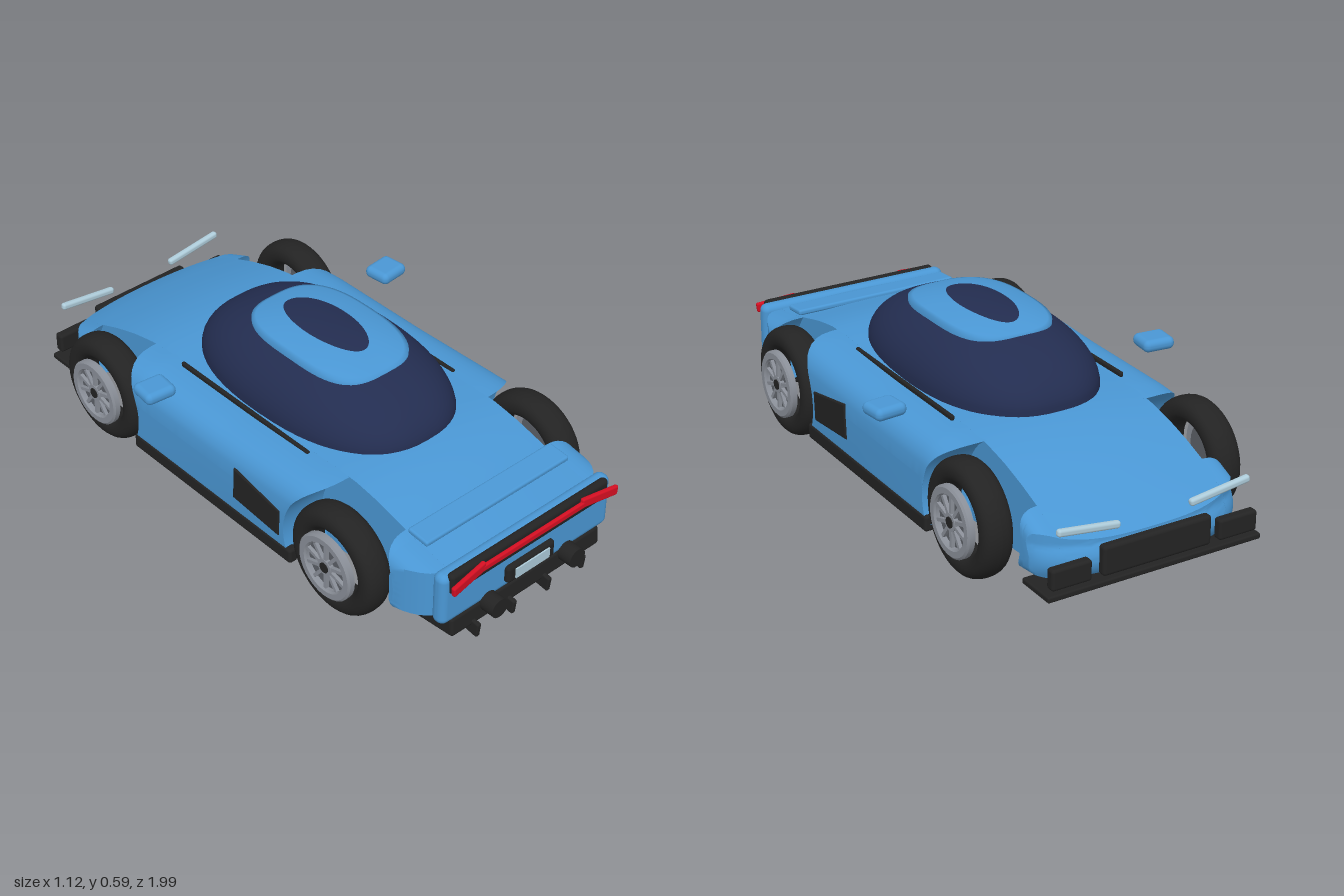
import * as THREE from 'three';
import { toCreasedNormals } from 'three/addons/utils/BufferGeometryUtils.js';
import { RoundedBoxGeometry } from 'three/addons/geometries/RoundedBoxGeometry.js';

const mat = (name, color, side = THREE.FrontSide) => {
  const m = new THREE.MeshStandardMaterial({ color, side });
  m.name = name;
  return m;
};

// Piecewise-linear lookup of a profile given as [z, y] points
const lookup = (pts) => (z) => {
  let i = 0;
  while (i < pts.length - 2 && z > pts[i + 1][0]) i++;
  const [a, b] = [pts[i], pts[i + 1]];
  const t = Math.min(1, Math.max(0, (z - a[0]) / (b[0] - a[0])));
  return a[1] + (b[1] - a[1]) * t;
};
const topY = lookup([[-0.99, 0.185], [-0.97, 0.21], [-0.9, 0.25], [-0.8, 0.292], [-0.7, 0.33], [-0.6, 0.36],
  [-0.5, 0.38], [-0.4, 0.388], [0, 0.39], [0.4, 0.402], [0.5, 0.4], [0.6, 0.383], [0.75, 0.345], [0.9, 0.32]]);
const bottomY = lookup([[-0.985, 0.105], [-0.8, 0.085], [-0.5, 0.07], [0.45, 0.07], [0.75, 0.1], [0.9, 0.14]]);

// End walls of a body slice: z as a function of height
const noseEnd = (x) => (y) => -0.8 - 0.185 * Math.pow(Math.max(0, 1 - Math.pow(Math.abs(x) / 0.38, 2.5)), 0.4)
  + 0.02 * Math.min(1, ((y - 0.15) / 0.05) ** 2);
const tailEnd = (x) => () => 0.895 - 0.13 * Math.pow(Math.max(0, (Math.abs(x) - 0.3) / 0.105), 3);
const arch = (zc, r, dir) => (y) => zc + dir * Math.sqrt(Math.max(0, r * r - (y - 0.19) ** 2));

// Side contour of the body between two end walls
function slice(x, drop, rise, front, rear) {
  const top = (z) => topY(z) - drop, bottom = (z) => bottomY(z) + rise;
  const meet = (curve, end) => {
    let z = end(0.2);
    for (let i = 0; i < 40; i++) z = (z + end(curve(z))) / 2;
    return z;
  };
  const tf = meet(top, front), tr = meet(top, rear), bf = meet(bottom, front), br = meet(bottom, rear);
  const pts = [], N = 36, M = 14;
  for (let i = 0; i < N; i++) { const z = tf + (tr - tf) * i / N; pts.push([z, top(z)]); }
  for (let i = 0; i < M; i++) { const y = top(tr) + (bottom(br) - top(tr)) * i / M; pts.push([i ? rear(y) : tr, y]); }
  for (let i = 0; i < N; i++) { const z = br + (bf - br) * i / N; pts.push([z, bottom(z)]); }
  for (let i = 0; i < M; i++) { const y = bottom(bf) + (top(tf) - bottom(bf)) * i / M; pts.push([i ? front(y) : bf, y]); }
  return { x, pts };
}

// Skin over slices ordered by rising x, closed at both ends
function loft(slices) {
  const pos = [], idx = [], n = slices[0].pts.length;
  slices.forEach(({ x, pts }) => pts.forEach(([z, y]) => pos.push(x, y, z)));
  for (let i = 0; i < slices.length - 1; i++) for (let j = 0; j < n; j++) {
    const a = i * n + j, b = i * n + (j + 1) % n;
    idx.push(a, b, a + n, b, b + n, a + n);
  }
  [0, slices.length - 1].forEach((s) => {
    const flat = slices[s].pts.map(([z, y]) => new THREE.Vector2(-z, y));
    THREE.ShapeUtils.triangulateShape(flat, []).forEach(([a, b, c]) =>
      idx.push(s * n + a, s * n + (s ? b : c), s * n + (s ? c : b)));
  });
  const g = new THREE.BufferGeometry();
  g.setAttribute('position', new THREE.Float32BufferAttribute(pos, 3));
  g.setIndex(idx);
  return toCreasedNormals(g, 0.6);
}

// Surface patch from rings running outward
function patch(rings, fn, segs = 64) {
  const pos = [], idx = [];
  for (let s = 0; s <= rings; s++) for (let k = 0; k < segs; k++) pos.push(...fn(s, k / segs * Math.PI * 2));
  for (let s = 0; s < rings; s++) for (let k = 0; k < segs; k++) {
    const a = s * segs + k, b = s * segs + (k + 1) % segs;
    idx.push(a, b, a + segs, b, b + segs, a + segs);
  }
  const g = new THREE.BufferGeometry();
  g.setAttribute('position', new THREE.Float32BufferAttribute(pos, 3));
  g.setIndex(idx);
  g.computeVertexNormals();
  return g;
}
const spow = (v, p) => Math.sign(v) * Math.pow(Math.abs(v), p);
const oval = (a, rx, rz, zc, p) => [rx * spow(Math.cos(a), 2 / p), zc + rz * spow(Math.sin(a), 2 / p)];
const cabinY = (x, z) => {
  const q = Math.pow(Math.abs(x / 0.295), 2.5) + Math.pow(Math.abs((z - 0.02) / 0.48), 2.5);
  return 0.385 + 0.205 * Math.sqrt(Math.max(0, 1 - Math.pow(q, 0.8)));
};

export function createModel() {
  const blue = mat('body blue', 0x4a97d4), navy = mat('dark glass', 0x232d50), black = mat('black trim', 0x232323);
  const red = mat('tail light red', 0xd40f22), grey = mat('rim grey', 0x8a8f98), dark = mat('wheel dark grey', 0x5c6067);
  const pale = mat('lamp pale blue', 0xadcbd9), roofBlue = mat('roof blue', 0x4a97d4, THREE.DoubleSide);
  const car = new THREE.Group();
  car.name = 'car';
  const add = (name, geo, m, x = 0, y = 0, z = 0, parent = car) => {
    const mesh = new THREE.Mesh(geo, m);
    mesh.name = name;
    mesh.position.set(x, y, z);
    parent.add(mesh);
    return mesh;
  };
  const rbox = (w, h, d, r) => new RoundedBoxGeometry(w, h, d, 3, r);

  // Central body between the wheels
  const core = [];
  for (let i = -10; i <= 10; i++) {
    const x = i * 0.03;
    core.push(slice(x, 0.012 * (x / 0.3) ** 2, 0, noseEnd(x), tailEnd(x)));
  }
  add('bodyCore', loft(core), blue);

  // Cabin glass and roof ring
  add('cabin', patch(20, (s, a) => {
    const r = Math.sin(s / 20 * Math.PI / 2), [x, z] = oval(a, 0.295 * r, 0.48 * r, 0.02, 2.5);
    return [x, s === 20 ? 0.375 : cabinY(x, z), z];
  }), navy);
  add('roof', patch(9, (s, a) => {
    const t = Math.min(1, s / 8), i = oval(a, 0.083, 0.183, 0.015, 2), o = oval(a, 0.18, 0.272, 0.033, 3);
    const x = i[0] + (o[0] - i[0]) * t, z = i[1] + (o[1] - i[1]) * t;
    return [x, cabinY(x, z) + (s === 9 ? -0.01 : 0.004 + 0.016 * (x / 0.18) ** 2), z];
  }), roofBlue);

  // Tail panel, lip, light bar, plate, diffuser
  add('tailPanel', rbox(0.73, 0.195, 0.055, 0.025), blue, 0, 0.2325, 0.917);
  add('tailLip', rbox(0.615, 0.02, 0.085, 0.008), blue, 0, 0.35, 0.77).rotation.x = 0.08;
  add('tailBlackPanel', rbox(0.68, 0.075, 0.03, 0.014), black, 0, 0.297, 0.94);
  add('tailLightBar', rbox(0.5, 0.022, 0.014, 0.005), red, 0, 0.306, 0.962);
  add('plateFrame', rbox(0.206, 0.065, 0.03, 0.013), black, 0, 0.196, 0.947);
  add('plate', new THREE.BoxGeometry(0.146, 0.037, 0.008), pale, 0, 0.197, 0.963);
  add('diffuser', rbox(0.65, 0.07, 0.16, 0.012), black, 0, 0.103, 0.868).rotation.x = -0.1;
  for (const x of [-0.233, -0.079, 0.075, 0.229])
    add('diffuserFin', rbox(0.017, 0.055, 0.18, 0.006), black, x, 0.077, 0.885).rotation.x = 0.12;

  // Nose splitter and grille
  add('splitter', rbox(0.77, 0.02, 0.145, 0.006), black, 0, 0.083, -0.92);
  add('grille', rbox(0.39, 0.1, 0.035, 0.012), black, 0, 0.157, -0.979);

  // Shared shapes for the wheels
  const tyrePts = [], rimPts = [[0.085, 0], [0.117, 0], [0.117, 0.018], [0.11, 0.024], [0.09, 0.024], [0.085, 0.018], [0.085, 0]];
  for (let i = 0; i <= 24; i++) {
    const a = i / 24 * Math.PI * 2;
    tyrePts.push(new THREE.Vector2(0.15 + 0.04 * spow(Math.cos(a), 0.85), 0.0525 * spow(Math.sin(a), 0.85)));
  }
  const tyre = new THREE.LatheGeometry(tyrePts, 48).rotateZ(-Math.PI / 2);
  const rim = toCreasedNormals(new THREE.LatheGeometry(rimPts.map((p) => new THREE.Vector2(...p)), 40), 0.5).rotateZ(-Math.PI / 2);
  const disc = (r, t) => new THREE.CylinderGeometry(r, r, t, 32).rotateZ(-Math.PI / 2);
  const spoke = new THREE.BoxGeometry(0.012, 0.07, 0.012).translate(0, 0.055, 0);

  // Everything that is mirrored left and right
  for (const s of [1, -1]) {
    const side = new THREE.Group();
    side.name = s > 0 ? 'leftSide' : 'rightSide';
    side.scale.x = s;
    car.add(side);
    const put = (name, geo, m, x, y, z) => add(name, geo, m, x, y, z, side);

    // Outer body pieces, cut by the wheel arches
    const flank = (name, x1, h, ends) => put(name, loft([0, 0.2, 0.4, 0.55, 0.7, 0.8, 0.88, 0.95, 0.985, 1].map((u) => {
      const x = 0.29 + (x1 - 0.29) * u, k = 1 - Math.cbrt(1 - u ** 3);
      return slice(x, 0.012 + h * k, 0.05 * k, ...ends(x));
    })), blue);
    flank('flank', 0.463, 0.13, () => [arch(-0.605, 0.21, 1), arch(0.555, 0.22, -1)]);
    flank('frontCorner', 0.37, 0.06, (x) => [noseEnd(x), arch(-0.605, 0.21, -1)]);
    flank('rearCorner', 0.407, 0.08, (x) => [arch(0.555, 0.22, 1), tailEnd(x)]);

    // Wheels
    for (const [name, z] of [['frontWheel', -0.605], ['rearWheel', 0.555]]) {
      const w = new THREE.Group();
      w.name = name;
      w.position.set(0.4175, 0.193, z);
      side.add(w);
      add('tyre', tyre, black, 0, 0, 0, w);
      add('rim', rim, grey, 0.05, 0, 0, w);
      add('brakeDisc', disc(0.088, 0.01), dark, 0.05, 0, 0, w);
      add('hub', disc(0.03, 0.016), grey, 0.062, 0, 0, w);
      add('hubCap', disc(0.018, 0.008), black, 0.069, 0, 0, w);
      for (let i = 0; i < 10; i++) add('spoke', spoke, grey, 0.062, 0, 0, w).rotation.x = i * Math.PI / 5;
    }

    // Sill, window line, mirror, side vent
    put('sill', rbox(0.035, 0.055, 0.79, 0.01), black, 0.449, 0.093, -0.025);
    put('windowLine', rbox(0.014, 0.018, 0.625, 0.006), black, 0.315, 0.384, -0.022);
    put('mirror', rbox(0.113, 0.043, 0.1, 0.02), blue, 0.503, 0.427, -0.24).rotation.y = 0.1;
    const vent = new THREE.Shape([[-0.315, 0.25], [-0.31, 0.157], [-0.1, 0.175], [-0.107, 0.288]].map((p) => new THREE.Vector2(...p)));
    put('sideVent', new THREE.ExtrudeGeometry(vent, { depth: 0.025, bevelSize: 0.005, bevelThickness: 0.005, bevelSegments: 2 })
      .rotateY(Math.PI / 2), black, 0.438, 0, 0);

    // Lamps, grille ends, exhausts
    put('headlight', rbox(0.22, 0.024, 0.022, 0.009), pale, 0.235, 0.27, -0.97).rotation.z = 0.13;
    put('sideGrille', rbox(0.14, 0.07, 0.035, 0.01), black, 0.3, 0.14, -0.973);
    const lamp = put('tailLight', rbox(0.148, 0.034, 0.016, 0.006), red, 0.282, 0.305, 0.967);
    lamp.rotation.set(0, -0.1, -0.1);
    put('exhaust', new THREE.CylinderGeometry(0.034, 0.034, 0.09, 24).rotateX(Math.PI / 2), black, 0.17, 0.135, 0.952);
  }
  return car;
}
